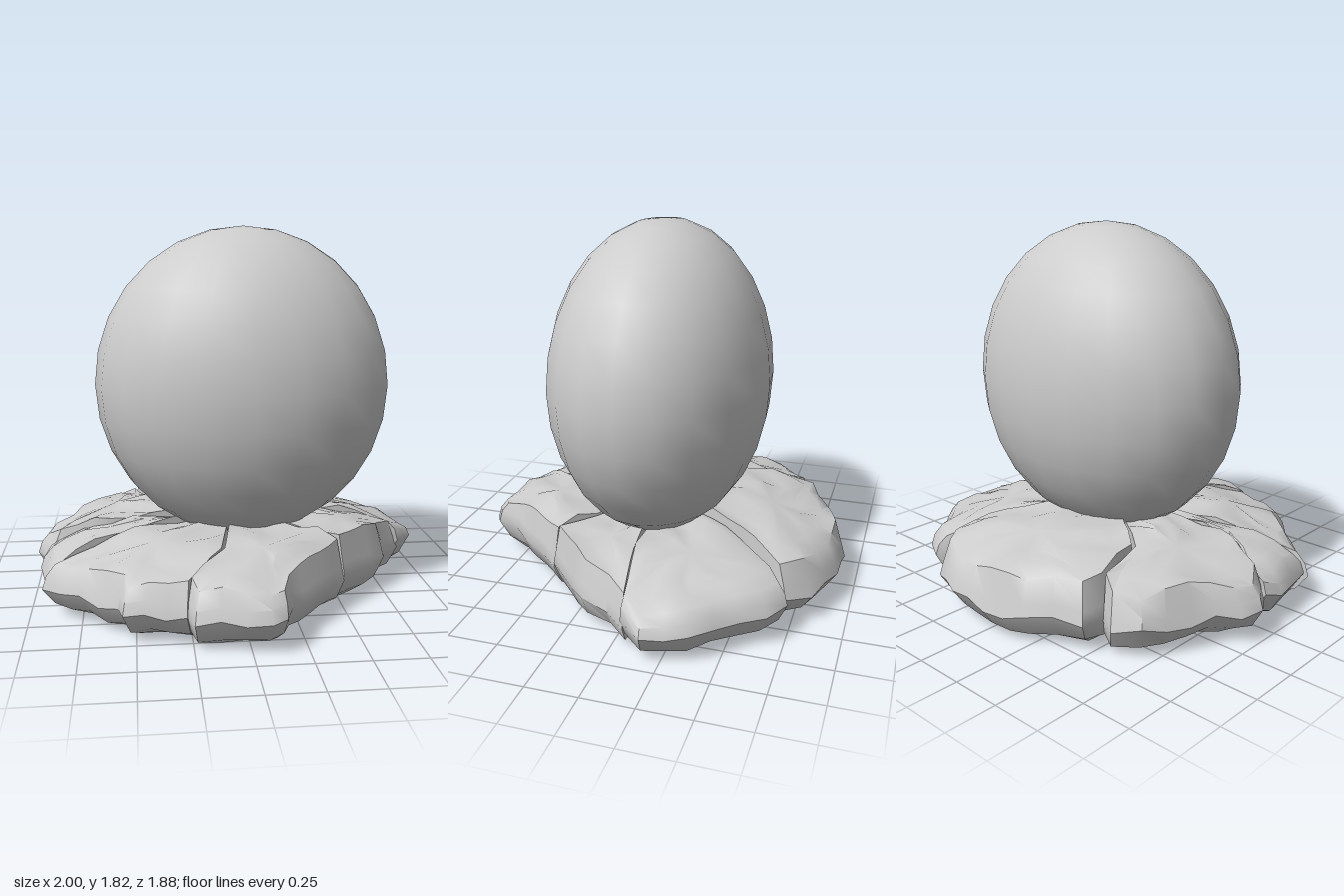
import * as THREE from 'three';
import { toCreasedNormals } from 'three/addons/utils/BufferGeometryUtils.js';

// Outer edge [x, z] of each rock, from the inner end of one crack to that of the next
const ROCKS = [
  { name: 'backRock', lift: 0.015, edge: [[-0.47, -0.37], [-0.52, -0.64], [-0.5, -0.75], [-0.36, -0.8], [-0.25, -0.88], [-0.05, -0.94], [0.18, -0.93], [0.4, -0.84], [0.49, -0.73], [0.33, -0.5]] },
  { name: 'backLeftRock', lift: -0.03, edge: [[0.33, -0.5], [0.48, -0.69], [0.55, -0.75], [0.68, -0.68], [0.74, -0.57], [0.92, -0.38], [1, -0.18], [0.9, -0.06], [0.6, -0.02]] },
  { name: 'leftRock', lift: -0.03, edge: [[0.6, -0.02], [0.9, -0.07], [0.8, 0.04], [0.76, 0.18], [0.5, 0.43]] },
  { name: 'frontRock', lift: -0.03, edge: [[0.5, 0.43], [0.38, 0.57], [0.19, 0.78], [0.15, 0.9], [0.08, 0.94], [-0.25, 0.88], [-0.28, 0.8], [-0.1, 0.56]] },
  { name: 'frontRightRock', lift: -0.03, edge: [[-0.1, 0.56], [-0.28, 0.81], [-0.56, 0.76], [-0.58, 0.68], [-0.94, 0.38], [-0.64, 0.25]] },
  { name: 'rightRock', lift: -0.02, edge: [[-0.64, 0.25], [-0.92, 0.37], [-0.97, 0.1], [-0.94, 0.01], [-0.65, 0.1]] },
  { name: 'backRightRock', lift: 0, edge: [[-0.65, 0.1], [-0.93, 0.01], [-1, -0.1], [-0.97, -0.22], [-0.88, -0.29], [-0.73, -0.62], [-0.61, -0.69], [-0.52, -0.64], [-0.47, -0.37]] },
];

// Smooth unevenness of the stone
const rough = (x, z, k) => Math.sin(x * 11 + k * 2.3) * Math.cos(z * 13 - k) + 0.6 * Math.sin((x + z) * 23 + k * 4);
// The pile is flat in the middle and rounds down to its rim
const slope = (r) => 0.405 - 0.13 * Math.max(0, (r - 0.42) / 0.5) ** 2;

// Cross-sections: scale about the pile's middle, scale about the rock's middle, height (none = crown)
const RINGS = [[0.84, 1, 0.012], [0.94, 1, 0.06], [1, 1, 0.15], [0.985, 0.99, 0.21], [0.95, 0.97], [0.96, 0.75], [1, 0.4]];

function rockGeometry(edge, lift, seed) {
  // Close the outline near the pile's middle, hidden under the boulder
  const plan = edge.map(([x, z]) => new THREE.Vector2(x, z));
  plan.push(plan.at(-1).clone().multiplyScalar(0.3), plan[0].clone().multiplyScalar(0.3));

  // Split long edges so the rim can be uneven
  const rim = [];
  plan.forEach((a, i) => {
    const b = plan[(i + 1) % plan.length];
    const n = Math.max(1, Math.round(a.distanceTo(b) / 0.11));
    for (let k = 0; k < n; k++) rim.push(a.clone().lerp(b, k / n));
  });
  // Same turning direction for every rock, so all faces point outward
  if (THREE.ShapeUtils.isClockWise(rim)) rim.reverse();
  const mid = rim.reduce((s, p) => s.add(p), new THREE.Vector2()).divideScalar(rim.length);

  const top = (x, z) => slope(Math.hypot(x, z)) + lift + 0.016 * rough(x, z, seed);
  const pos = [mid.x, 0.012, mid.y];
  RINGS.forEach(([pileScale, rockScale, y], j) => {
    for (const p of rim) {
      const q = p.clone().sub(mid).multiplyScalar(rockScale).add(mid).multiplyScalar(pileScale);
      const wobble = (j === 0 ? 0.007 : 0.018) * rough(q.x, q.y, seed + 3);
      const crown = top(q.x, q.y);
      pos.push(q.x, y === undefined ? crown : Math.min(y + wobble, crown - 0.01), q.y);
    }
  });
  pos.push(mid.x, top(mid.x, mid.y), mid.y);

  const n = rim.length, last = 1 + RINGS.length * n, index = [];
  for (let i = 0; i < n; i++) {
    const k = (i + 1) % n;
    index.push(0, 1 + i, 1 + k);
    for (let j = 0; j < RINGS.length - 1; j++) {
      const a = 1 + j * n + i, b = 1 + j * n + k;
      index.push(a, b + n, b, a, a + n, b + n);
    }
    index.push(last - n + k, last - n + i, last);
  }

  const g = new THREE.BufferGeometry();
  g.setAttribute('position', new THREE.Float32BufferAttribute(pos, 3));
  g.setIndex(index);
  return toCreasedNormals(g, 0.7);
}

export function createModel() {
  const model = new THREE.Group();
  const stone = new THREE.MeshStandardMaterial({ color: 0xcccccc });
  stone.name = 'grey stone';
  const add = (name, geometry) => {
    const mesh = new THREE.Mesh(geometry, stone);
    mesh.name = name;
    model.add(mesh);
    return mesh;
  };

  // Ring of rocks
  ROCKS.forEach(({ name, lift, edge }, i) => add(name, rockGeometry(edge, lift, i + 1)));

  // Core filling the cracks between the rocks
  add('rockCore', new THREE.CylinderGeometry(0.5, 0.6, 0.26, 14)).position.y = 0.16;

  // Large flattened boulder standing on the rocks
  const boulder = add('boulder', new THREE.SphereGeometry(1, 20, 14));
  boulder.scale.set(0.738, 0.775, 0.54);
  boulder.position.set(0.055, 1.05, 0);
  return model;
}
